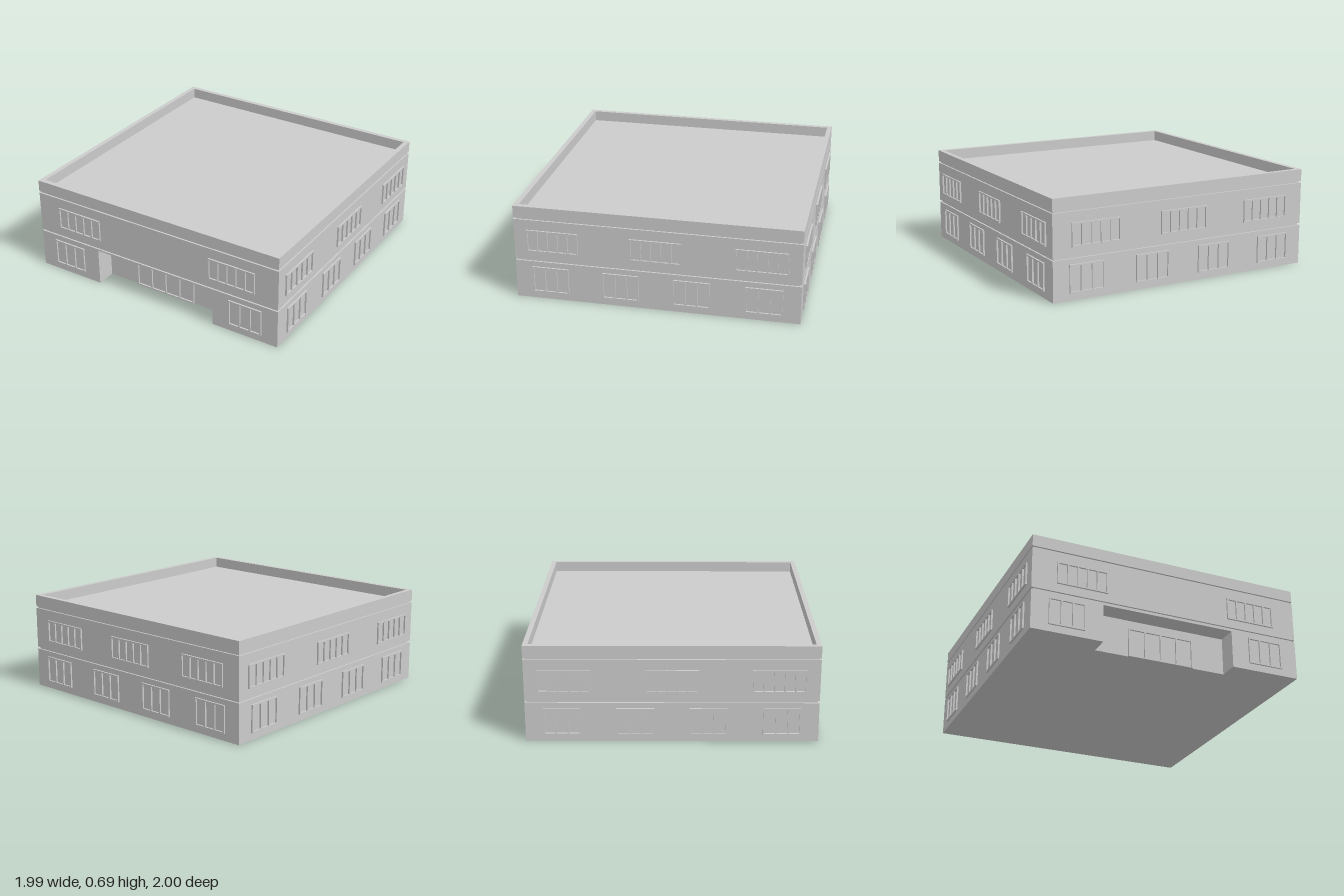
import * as THREE from 'three';

const W = 0.985, D = 0.988; // half width and half depth of the walls
const material = new THREE.MeshStandardMaterial({ color: 0xcccccc });

function box(name, w, h, d, x, y, z) {
  const mesh = new THREE.Mesh(new THREE.BoxGeometry(w, h, d), material);
  mesh.name = name;
  mesh.position.set(x, y, z);
  return mesh;
}

function polygon(points, Type = THREE.Shape) {
  return new Type(points.map(([x, y]) => new THREE.Vector2(x, y)));
}

// Raises a plan outline, drawn as (x, -z), from y0 to y1
function storey(name, shape, y0, y1) {
  const geometry = new THREE.ExtrudeGeometry(shape, { depth: y1 - y0, bevelEnabled: false });
  geometry.rotateX(-Math.PI / 2);
  geometry.translate(0, y0, 0);
  const mesh = new THREE.Mesh(geometry, material);
  mesh.name = name;
  return mesh;
}

// Framed opening standing proud of a wall that faces +z
function frame(name, width, y0, y1, panes, t = 0.01, depth = 0.024) {
  const group = new THREE.Group();
  group.name = name;
  for (let i = 0; i <= panes; i++) {
    const x = (i / panes - 0.5) * (width - t);
    group.add(box('mullion', t, y1 - y0, depth, x, (y0 + y1) / 2, 0));
  }
  for (const y of [y0 + t / 2, y1 - t / 2]) {
    group.add(box('rail', width - t, t, depth * 0.96, 0, y, 0));
  }
  return group;
}

export function createModel() {
  const model = new THREE.Group();
  model.name = 'building';

  // Ground floor with the entrance recess cut out of the front
  const e = 0.48, recessZ = D - 0.14;
  const plan = polygon([
    [-W, -D], [-e, -D], [-e, -recessZ], [e, -recessZ], [e, -D], [W, -D], [W, D], [-W, D],
  ]);
  model.add(storey('groundFloor', plan, 0, 0.28));
  model.add(box('entranceLintel', 2 * e, 0.012, 0.14, 0, 0.274, D - 0.07));

  // Recessed joints between the storeys
  const g = 0.012;
  model.add(box('floorJoint', 2 * (W - g), 0.02, 2 * (D - g), 0, 0.2875, 0));
  model.add(box('roofJoint', 2 * (W - g), 0.03, 2 * (D - g), 0, 0.595, 0));

  // Upper floor
  model.add(box('upperFloor', 2 * W, 0.295, 2 * D, 0, 0.4425, 0));

  // Parapet ring around the sunken flat roof
  const p = 0.035;
  const ring = polygon([[-W, -D], [W, -D], [W, D], [-W, D]]);
  ring.holes.push(polygon([
    [-W + p, -D + p], [-W + p, D - p], [W - p, D - p], [W - p, -D + p],
  ], THREE.Path));
  model.add(storey('parapet', ring, 0.602, 0.687));

  // Entrance doors
  const doors = frame('entranceDoors', 0.48, 0, 0.208, 4);
  doors.position.z = recessZ;
  model.add(doors);

  // Windows, side by side: front, left, back, right
  const walls = [
    { name: 'front', turn: 0, dist: D, upper: [-0.63, 0.63], lower: [-0.735, 0.735] },
    { name: 'left', turn: Math.PI / 2, dist: W, upper: [-0.72, 0, 0.72] },
    { name: 'back', turn: Math.PI, dist: D, upper: [-0.67, 0, 0.67] },
    { name: 'right', turn: -Math.PI / 2, dist: W, upper: [-0.72, 0, 0.72] },
  ];
  for (const { name, turn, dist, upper, lower = [-0.74, -0.245, 0.245, 0.74] } of walls) {
    const wall = new THREE.Group();
    wall.name = name + 'Windows';
    wall.rotation.y = turn;
    for (const x of upper) {
      const w = frame('upperWindow', 0.36, 0.357, 0.517, 5);
      w.position.set(x, 0, dist);
      wall.add(w);
    }
    for (const x of lower) {
      const w = frame('lowerWindow', 0.255, 0.05, 0.242, 3);
      w.position.set(x, 0, dist);
      wall.add(w);
    }
    model.add(wall);
  }
  return model;
}
